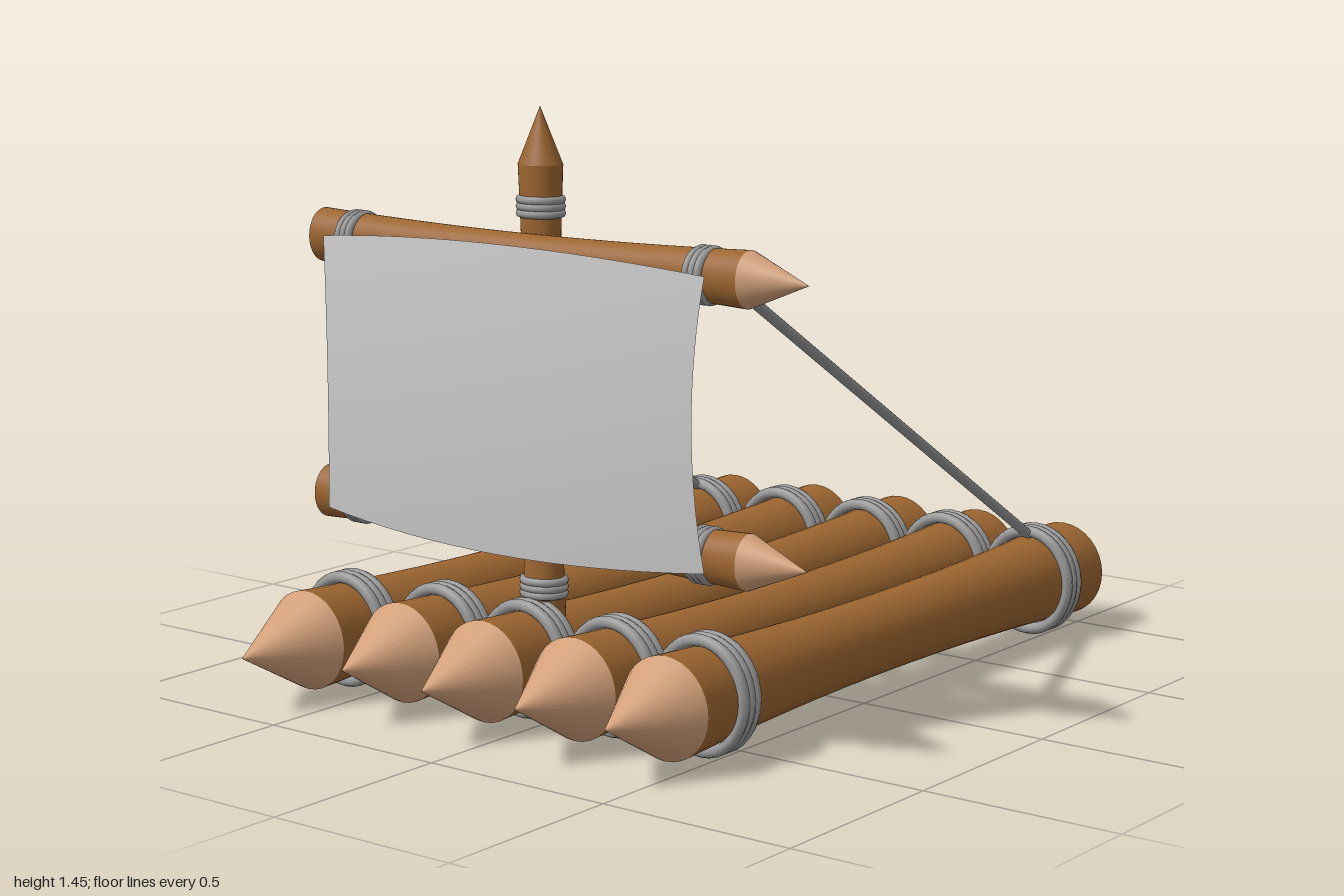
import * as THREE from 'three';

const wood = new THREE.MeshStandardMaterial({ color: 0x9c6530 });
const cutWood = new THREE.MeshStandardMaterial({ color: 0xd2a07a });
const ropeMat = new THREE.MeshStandardMaterial({ color: 0x999999 });
const cloth = new THREE.MeshStandardMaterial({ color: 0xcccccc, side: THREE.DoubleSide });

function add(parent, name, geometry, material) {
  const mesh = new THREE.Mesh(geometry, material);
  mesh.name = name;
  parent.add(mesh);
  return mesh;
}

// Sharpened log along +y: waisted body from 0 to len, pointed tip above, growth rings on the cut end
function makeLog(name, len, r, waist, tipLen, tipMat) {
  const log = new THREE.Group();
  log.name = name;
  const profile = [];
  for (let i = 0; i <= 16; i++) {
    const t = i / 8 - 1;
    profile.push(new THREE.Vector2(waist + (r - waist) * t * t, (len * i) / 16));
  }
  add(log, 'body', new THREE.LatheGeometry(profile, 32), wood);
  const tip = add(log, 'tip', new THREE.ConeGeometry(r, tipLen, 32, 1, true), tipMat);
  tip.position.y = len + tipLen / 2;
  const bands = [0, 0.14, 0.32, 0.48, 0.64, 0.86, 1];
  for (let i = 0; i < 6; i++) {
    const ring = new THREE.RingGeometry(bands[i] * r, bands[i + 1] * r, 32);
    add(log, 'growthRing', ring.rotateX(Math.PI / 2), i % 2 ? wood : cutWood);
  }
  return log;
}

// Three turns of rope around the y axis
function makeLashing(name, r, tube, spacing) {
  const lashing = new THREE.Group();
  lashing.name = name;
  for (let i = -1; i <= 1; i++) {
    const turn = add(lashing, 'ropeTurn', new THREE.TorusGeometry(r, tube, 8, 36), ropeMat);
    turn.rotation.x = Math.PI / 2;
    turn.position.y = i * spacing;
  }
  return lashing;
}

// Square sail bulging away from the mast, with slightly drawn-in sides
function makeSail() {
  const geo = new THREE.PlaneGeometry(2, 2, 16, 16);
  const p = geo.attributes.position;
  for (let i = 0; i < p.count; i++) {
    const u = p.getX(i), v = p.getY(i);
    const x = -0.705 + 0.04 * u * u + 0.018 * v * v;
    const y = 0.785 + v * (0.365 - 0.03 * u * u);
    const z = -0.07 + u * (0.555 + 0.022 * v * v);
    p.setXYZ(i, x, y, z);
  }
  geo.computeVertexNormals();
  return geo;
}

export function createModel() {
  const raft = new THREE.Group();
  raft.name = 'raft';

  // Deck logs: z, tip x, shoulder x, cut end x, front lashing x, rear lashing x
  const logs = [
    [-0.6, -1.0, -0.78, 0.955, -0.625, 0.795],
    [-0.338, -0.935, -0.73, 0.985, -0.575, 0.825],
    [-0.07, -0.955, -0.74, 1.0, -0.575, 0.835],
    [0.197, -0.94, -0.73, 0.985, -0.575, 0.83],
    [0.46, -0.945, -0.73, 0.985, -0.575, 0.832],
  ];
  for (const [z, tip, shoulder, end, ropeA, ropeB] of logs) {
    const log = makeLog('deckLog', end - shoulder, 0.122, 0.095, shoulder - tip, cutWood);
    log.rotation.z = Math.PI / 2;
    log.position.set(end, 0.15, z);
    raft.add(log);
    for (const x of [ropeA, ropeB]) {
      const lashing = makeLashing('deckLashing', 0.13, 0.015, 0.022);
      lashing.rotation.z = Math.PI / 2;
      lashing.scale.z = 0.93;
      lashing.position.set(x, 0.15, z);
      raft.add(lashing);
    }
  }

  // Mast
  const mast = makeLog('mast', 1.1, 0.056, 0.044, 0.135, wood);
  mast.scale.x = 0.86;
  mast.position.set(-0.522, 0.22, -0.066);
  raft.add(mast);
  for (const y of [0.315, 1.222]) {
    const lashing = makeLashing('mastLashing', 0.052, 0.01, 0.016);
    lashing.scale.x = 0.87;
    lashing.position.set(-0.522, y, -0.066);
    raft.add(lashing);
  }

  // Yards above and below the sail
  for (const y of [0.472, 1.11]) {
    const yard = makeLog('yard', 1.29, 0.066, 0.052, 0.16, cutWood);
    yard.rotation.x = Math.PI / 2;
    yard.scale.x = 0.85;
    yard.position.set(-0.57, y, -0.715);
    raft.add(yard);
    for (const z of [-0.6, 0.456]) {
      const lashing = makeLashing('yardLashing', 0.058, 0.01, 0.016);
      lashing.rotation.x = Math.PI / 2;
      lashing.position.set(-0.57, y, z);
      raft.add(lashing);
    }
  }

  add(raft, 'sail', makeSail(), cloth);

  // Stays from the upper yard to the rear deck lashings
  for (const [z, endX] of [[-0.6, 0.78], [0.456, 0.815]]) {
    const dx = endX + 0.53, dy = 0.27 - 1.113;
    const geo = new THREE.CylinderGeometry(0.011, 0.011, Math.hypot(dx, dy), 12);
    const stay = add(raft, 'stay', geo, ropeMat);
    stay.scale.z = 1.7;
    stay.rotation.z = Math.atan2(dy, dx) - Math.PI / 2;
    stay.position.set(-0.53 + dx / 2, 1.113 + dy / 2, z);
  }
  return raft;
}
